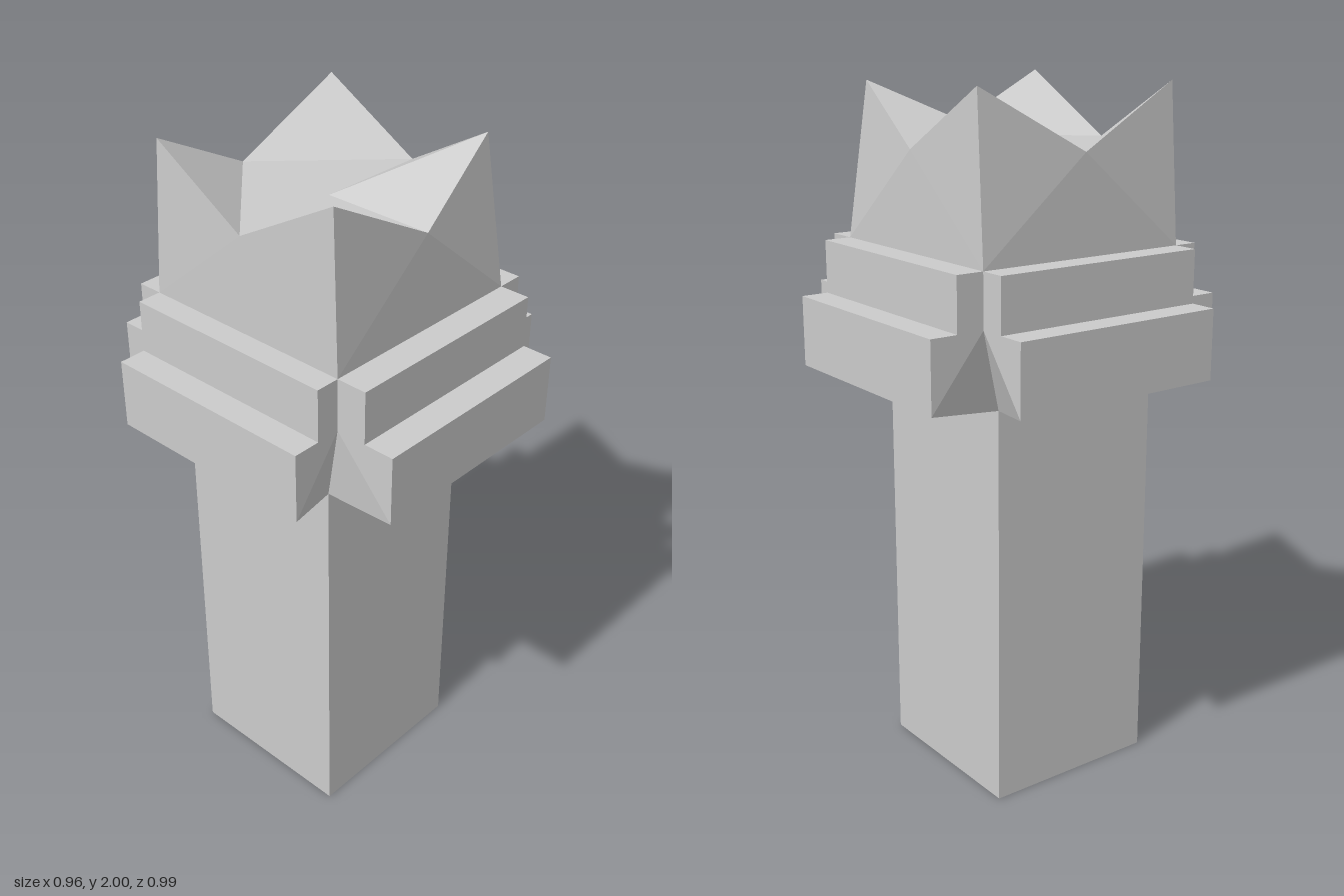
import * as THREE from 'three';

const V = (x, y, z) => new THREE.Vector3(x, y, z);

// Flat-shaded mesh from convex polygons, corners counter-clockwise from outside
function facetMesh(name, polygons) {
  const pos = [];
  for (const p of polygons) {
    for (let i = 1; i < p.length - 1; i++) {
      for (const v of [p[0], p[i], p[i + 1]]) pos.push(v.x, v.y, v.z);
    }
  }
  const g = new THREE.BufferGeometry();
  g.setAttribute('position', new THREE.Float32BufferAttribute(pos, 3));
  g.computeVertexNormals();
  const mesh = new THREE.Mesh(g, new THREE.MeshStandardMaterial({ color: 0xcccccc, flatShading: true }));
  mesh.name = name;
  return mesh;
}

// Corners as [x, z], in order front left edge, front right, back right, back left
const SHAFT = [[-0.3, 0.25], [0.23, 0.25], [0.23, -0.28], [-0.3, -0.28]];
const CORE = [[-0.33, 0.31], [0.32, 0.31], [0.32, -0.34], [-0.33, -0.34]];
const SHAFT_TOP = 1.165, BAND_LOW = 1.205, STEP = 1.405, BAND_TOP = 1.555, NOTCH = 1.827;

// Outward direction and the reach of the lower and upper steps, per side
const SIDES = [
  { name: 'front', n: [0, 1], low: 0.18, up: 0.09 },
  { name: 'right', n: [1, 0], low: 0.16, up: 0.08 },
  { name: 'back', n: [0, -1], low: 0.155, up: 0.075 },
  { name: 'left', n: [-1, 0], low: 0.15, up: 0.07 },
];

// Stepped band on one side, flaring out from the shaft
function band(i) {
  const { name, n, low, up } = SIDES[i];
  const section = (c) => {
    const at = (d, y) => V(CORE[c][0] + n[0] * d, y, CORE[c][1] + n[1] * d);
    return [V(SHAFT[c][0], SHAFT_TOP, SHAFT[c][1]), at(low, BAND_LOW), at(low, STEP),
      at(up, STEP), at(up, BAND_TOP), at(0, BAND_TOP), at(0, STEP)];
  };
  const a = section(i), b = section((i + 1) % 4);
  const faces = [];
  for (let k = 0; k < 5; k++) faces.push([a[k], b[k], b[k + 1], a[k + 1]]);
  for (const [p, q] of [[0, 1], [1, 2], [3, 4], [4, 5]]) {
    faces.push([a[6], a[p], a[q]], [b[6], b[q], b[p]]);
  }
  return facetMesh(name + 'Band', faces);
}

// Four-pointed crown with notches at the middle of each side
function crown() {
  const base = CORE.map(([x, z]) => V(x, BAND_TOP, z));
  const peaks = [V(-0.328, 2, 0.295), V(0.28, 1.99, 0.262), V(0.313, 2, -0.308), V(-0.323, 1.995, -0.31)];
  const mids = base.map((p, i) => p.clone().lerp(base[(i + 1) % 4], 0.5).setY(NOTCH));
  const centre = V(-0.006, NOTCH, -0.02);
  const faces = [];
  for (let i = 0; i < 4; i++) {
    const j = (i + 1) % 4, prev = mids[(i + 3) % 4];
    // outer wall
    faces.push([base[i], base[j], mids[i]], [base[i], mids[i], peaks[i]], [base[j], peaks[j], mids[i]]);
    // inner slope: one point is folded toward the centre, the rest rise from a flat floor
    if (i === 1) faces.push([centre, prev, peaks[i]], [centre, peaks[i], mids[i]]);
    else faces.push([prev, peaks[i], mids[i]], [centre, prev, mids[i]]);
  }
  return facetMesh('crown', faces);
}

export function createModel() {
  const model = new THREE.Group();

  const shaft = new THREE.Mesh(
    new THREE.BoxGeometry(0.53, SHAFT_TOP, 0.53),
    new THREE.MeshStandardMaterial({ color: 0xcccccc, flatShading: true }));
  shaft.position.set(-0.035, SHAFT_TOP / 2, -0.015);
  shaft.name = 'shaft';
  model.add(shaft);

  for (let i = 0; i < 4; i++) model.add(band(i));
  model.add(crown());
  return model;
}
